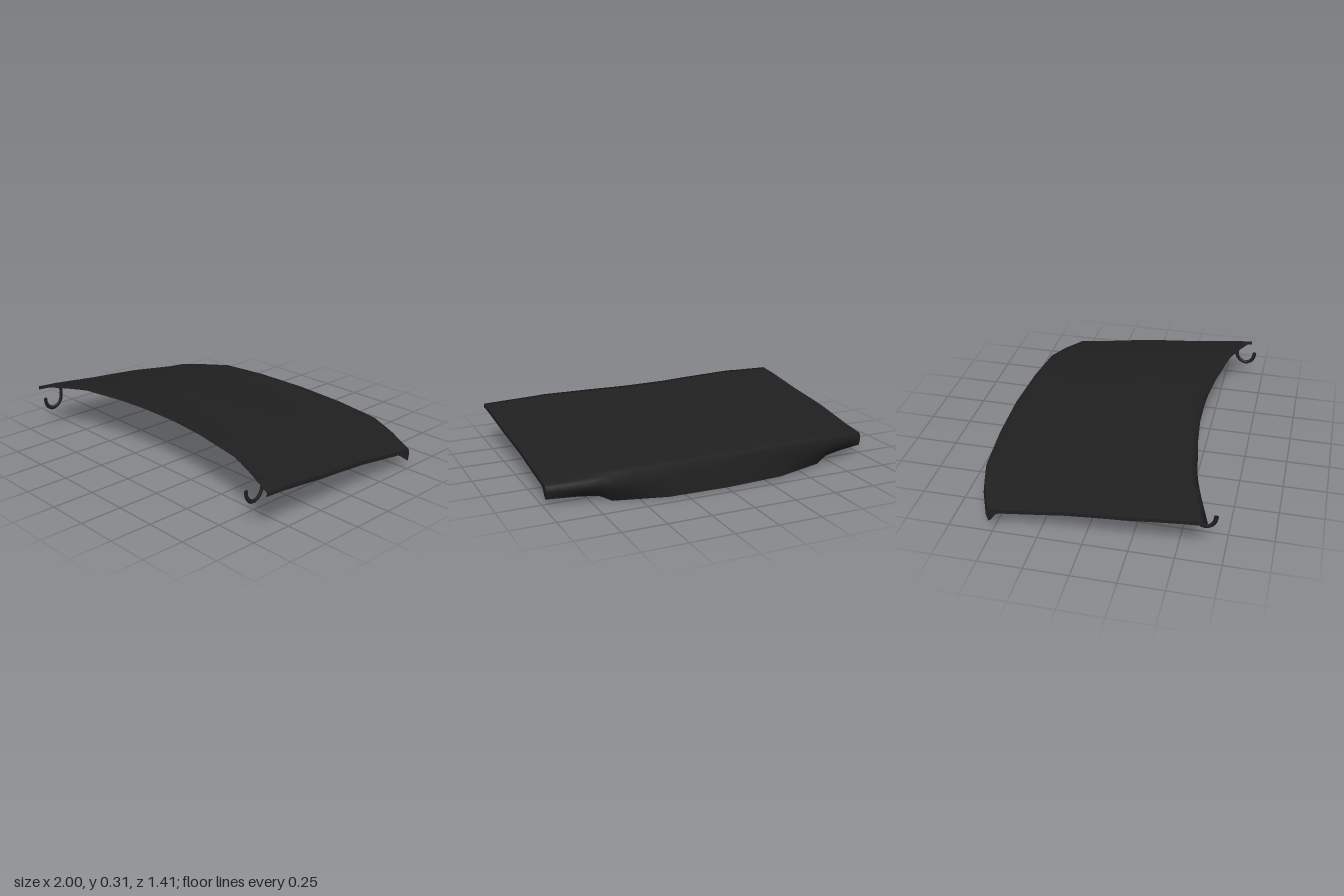
import * as THREE from 'three';

// piecewise linear lookup in ascending [input, output] keys
function lookup(keys, v) {
  if (v <= keys[0][0]) return keys[0][1];
  for (let i = 1; i < keys.length; i++) {
    const [a, p] = keys[i - 1], [b, q] = keys[i];
    if (v <= b) return p + (q - p) * (v - a) / (b - a);
  }
  return keys[keys.length - 1][1];
}
const lerp = THREE.MathUtils.lerp;

// plan outlines and heights, by distance from the centre line
const frontZ = [[0, 0.485], [0.15, 0.488], [0.35, 0.508], [0.68, 0.557], [0.83, 0.603], [1, 0.663]];
const rearZ = [[0, -0.703], [0.35, -0.69], [0.65, -0.665], [0.82, -0.62], [1, -0.545]];
const bottomZ = [[0, -0.703], [0.35, -0.685], [0.65, -0.6], [0.72, -0.585], [1, -0.525]];
const bottomY = [[0, 0.02], [0.65, 0.018], [0.72, 0.053], [0.82, 0.06], [1, 0.06]];
const crownDrop = [[0, 0], [0.35, 0.002], [0.65, 0.012], [0.82, 0.035], [1, 0.063]];
// height of the top along the centre line, by z
const topY = [[-0.68, 0.203], [-0.4, 0.223], [-0.1, 0.259], [0.3, 0.292], [0.49, 0.318], [0.67, 0.33]];

const half = [0.08, 0.15, 0.25, 0.35, 0.45, 0.56, 0.65, 0.72, 0.77, 0.83, 0.88, 0.94, 0.975, 1];
const columns = [...half.slice().reverse().map((x) => -x), 0, ...half];
const along = [0, 0.03, 0.1, 0.22, 0.36, 0.5, 0.64, 0.78, 0.9, 0.96, 1];

const place = (x, y, z) => [x * (1 - 0.012 * (0.66 - z)), y - 0.01 * x, z];

// [z, y] cross-section from the front fold to the lower rear edge
function section(x) {
  const a = Math.abs(x);
  const f = lookup(frontZ, a), r = lookup(rearZ, a), bz = lookup(bottomZ, a), by = lookup(bottomY, a);
  const bend = r + 0.024;
  const height = (z) => lookup(topY, z) - lookup(crownDrop, a) * (1 - 0.45 * Math.min(z, 0));
  const top = along.map((t) => {
    const z = lerp(f, bend, t);
    return [z, height(z)];
  });
  const edge = top[top.length - 1][1], mid = r + 0.01;
  return [
    [f - 0.03, top[0][1] - 0.012],
    ...top,
    [r + 0.016, lerp(edge, by, 0.12)],
    [mid, lerp(edge, by, 0.45)],
    [lerp(mid, bz, 0.6), lerp(edge, by, 0.78)],
    [bz, by],
  ];
}

// smooth skin through a list of equally long point rows
function skin(rows, flip) {
  const n = rows[0].length, index = [];
  for (let i = 0; i < rows.length - 1; i++) {
    for (let j = 0; j < n - 1; j++) {
      const a = i * n + j, b = a + n;
      if (flip) index.push(a, a + 1, b, b, a + 1, b + 1);
      else index.push(a, b, a + 1, b, b + 1, a + 1);
    }
  }
  const g = new THREE.BufferGeometry();
  g.setAttribute('position', new THREE.Float32BufferAttribute(rows.flat(2), 3));
  g.setIndex(index);
  g.computeVertexNormals();
  return g;
}

export function createModel() {
  const model = new THREE.Group();
  model.name = 'lid';
  const black = new THREE.MeshStandardMaterial({ color: 0x202020, side: THREE.DoubleSide });
  black.name = 'black paint';
  const add = (name, geometry) => {
    const mesh = new THREE.Mesh(geometry, black);
    mesh.name = name;
    model.add(mesh);
    return mesh;
  };

  // crowned top with the rear panel turned down
  add('panel', skin(columns.map((x) => section(x).map(([z, y]) => place(x, y, z)))));

  for (const side of [-1, 1]) {
    const name = side > 0 ? 'left' : 'right';

    // narrow side flange that widens into the rear corner
    const edge = section(side).slice(1);
    const last = edge.length - 1;
    const outer = edge.map(([z, y]) => place(side, y, z));
    const inner = edge.map(([z, y], i) => {
      const k = i - (along.length - 1);
      if (k < 0) return place(side, y - 0.022, Math.max(z, -0.46));
      return place(side, y - 0.022 * (1 - k / (last - along.length + 1)), lerp(-0.465, -0.52, k / (last - along.length + 1)));
    });
    add(name + 'Flange', skin([outer, inner], side < 0));

    // hinge hook under the front corner
    const path = new THREE.CatmullRomCurve3([
      [0.694, 0.235], [0.686, 0.195], [0.66, 0.166], [0.63, 0.161],
      [0.6, 0.178], [0.58, 0.21], [0.576, 0.275],
    ].map(([z, y]) => new THREE.Vector3(0, y, z)));
    const hook = new THREE.TubeGeometry(path, 14, 0.012, 8, false);
    hook.scale(0.6, 1, 1);
    add(name + 'Hook', hook).position.x = side * 0.885;
  }
  return model;
}
